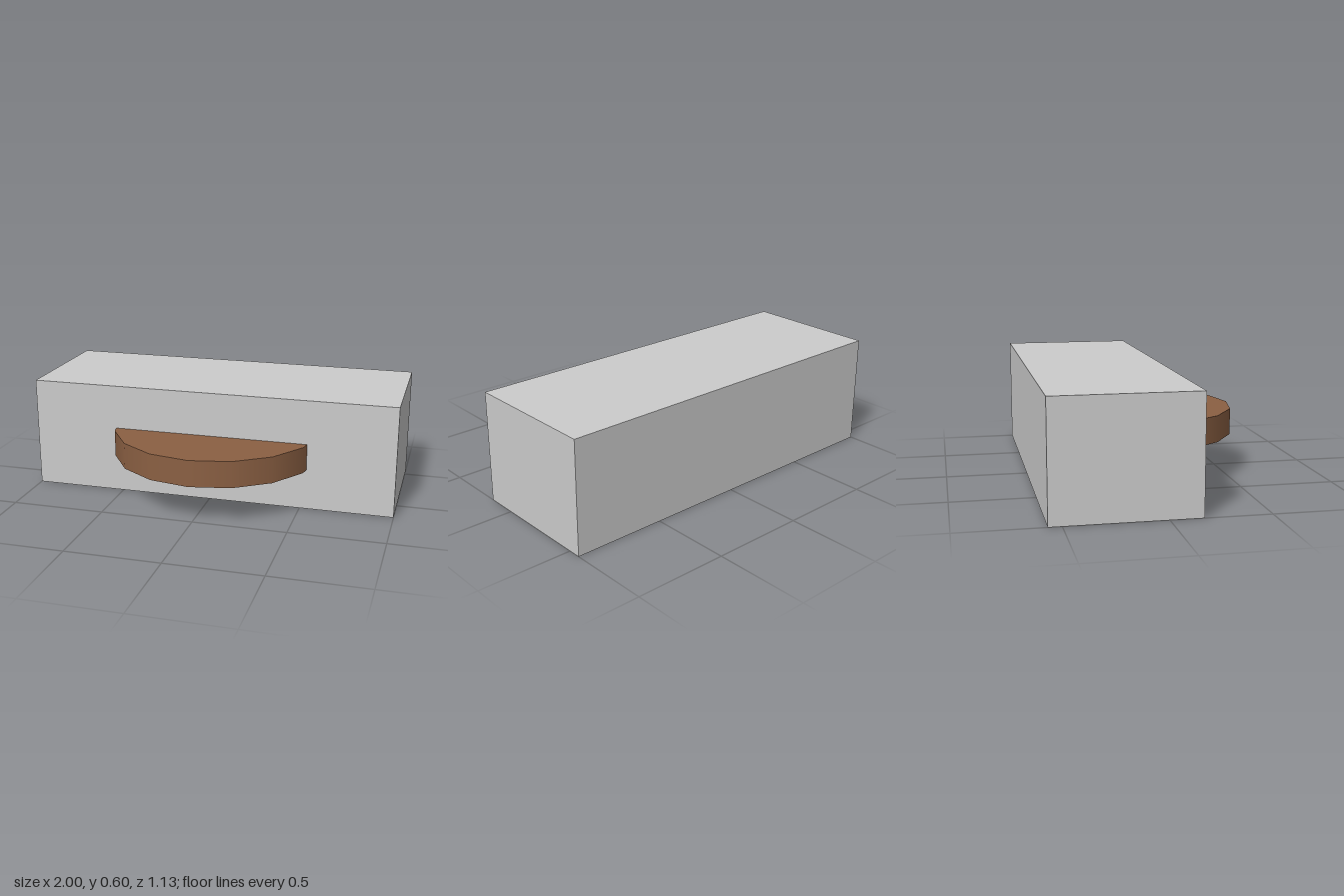
import * as THREE from 'three';

export function createModel() {
  const group = new THREE.Group();

  // Plain rectangular block
  const block = new THREE.Mesh(
    new THREE.BoxGeometry(2, 0.6, 0.733),
    new THREE.MeshStandardMaterial({ color: 0xcccccc })
  );
  block.name = 'block';
  block.position.set(0, 0.3, -0.2);
  group.add(block);

  // Sixteen-sided disc set into the block, its front edge forming a ledge
  const ledge = new THREE.Mesh(
    new THREE.CylinderGeometry(0.565, 0.565, 0.142, 16),
    new THREE.MeshStandardMaterial({ color: 0x8b6043 })
  );
  ledge.name = 'roundLedge';
  ledge.position.set(0, 0.29, 0);
  group.add(ledge);

  return group;
}
